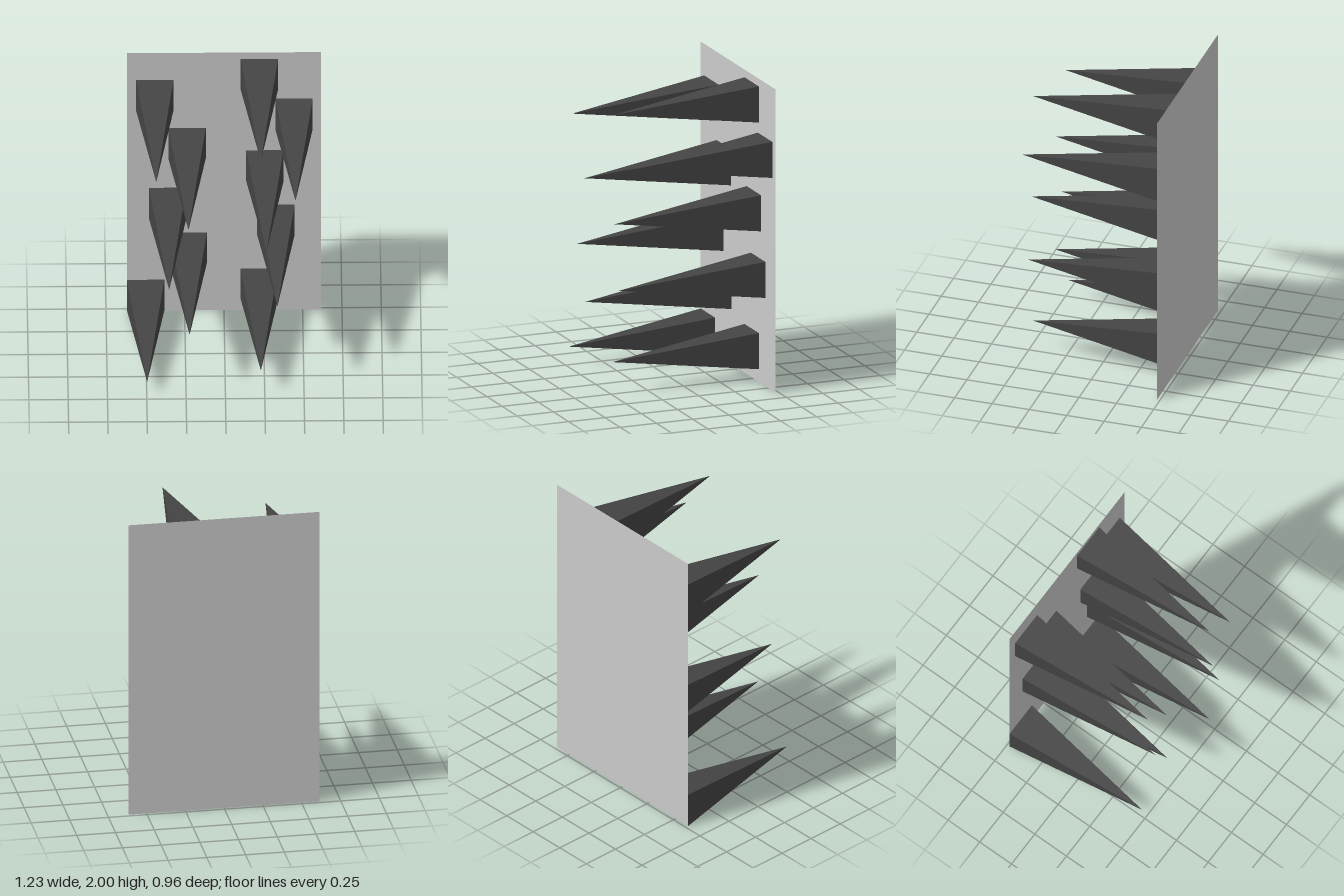
import * as THREE from 'three';

export function createModel() {
  const model = new THREE.Group();
  model.name = 'spikedWall';
  const backZ = -0.48, length = 0.96, halfBase = 0.119;

  // Thin flat backing panel
  const panel = new THREE.Mesh(
    new THREE.PlaneGeometry(1.234, 2),
    new THREE.MeshStandardMaterial({ color: 0xcccccc, side: THREE.DoubleSide })
  );
  panel.name = 'backPanel';
  panel.position.set(0, 1, backZ);
  model.add(panel);

  // Four-sided spike, square base upright on the panel, tip pointing to +z
  const spikeGeometry = new THREE.ConeGeometry(halfBase * Math.SQRT2, length, 4, 1, true);
  spikeGeometry.rotateY(Math.PI / 4);
  spikeGeometry.rotateX(Math.PI / 2);
  spikeGeometry.translate(0, 0, backZ + length / 2);
  const spikeMaterial = new THREE.MeshStandardMaterial({ color: 0x444444, flatShading: true });

  // Spike centres (x, y) on the panel
  const centres = [
    [0.225, 1.83], [-0.44, 1.672], [0.445, 1.521], [-0.235, 1.298], [0.26, 1.121],
    [-0.358, 0.834], [0.33, 0.7], [-0.228, 0.484], [0.225, 0.203], [-0.498, 0.12],
  ];
  const spikes = new THREE.Group();
  spikes.name = 'spikes';
  centres.forEach(([x, y], i) => {
    const spike = new THREE.Mesh(spikeGeometry, spikeMaterial);
    spike.name = `spike${i + 1}`;
    spike.position.set(x, y, 0);
    spikes.add(spike);
  });
  model.add(spikes);

  return model;
}
